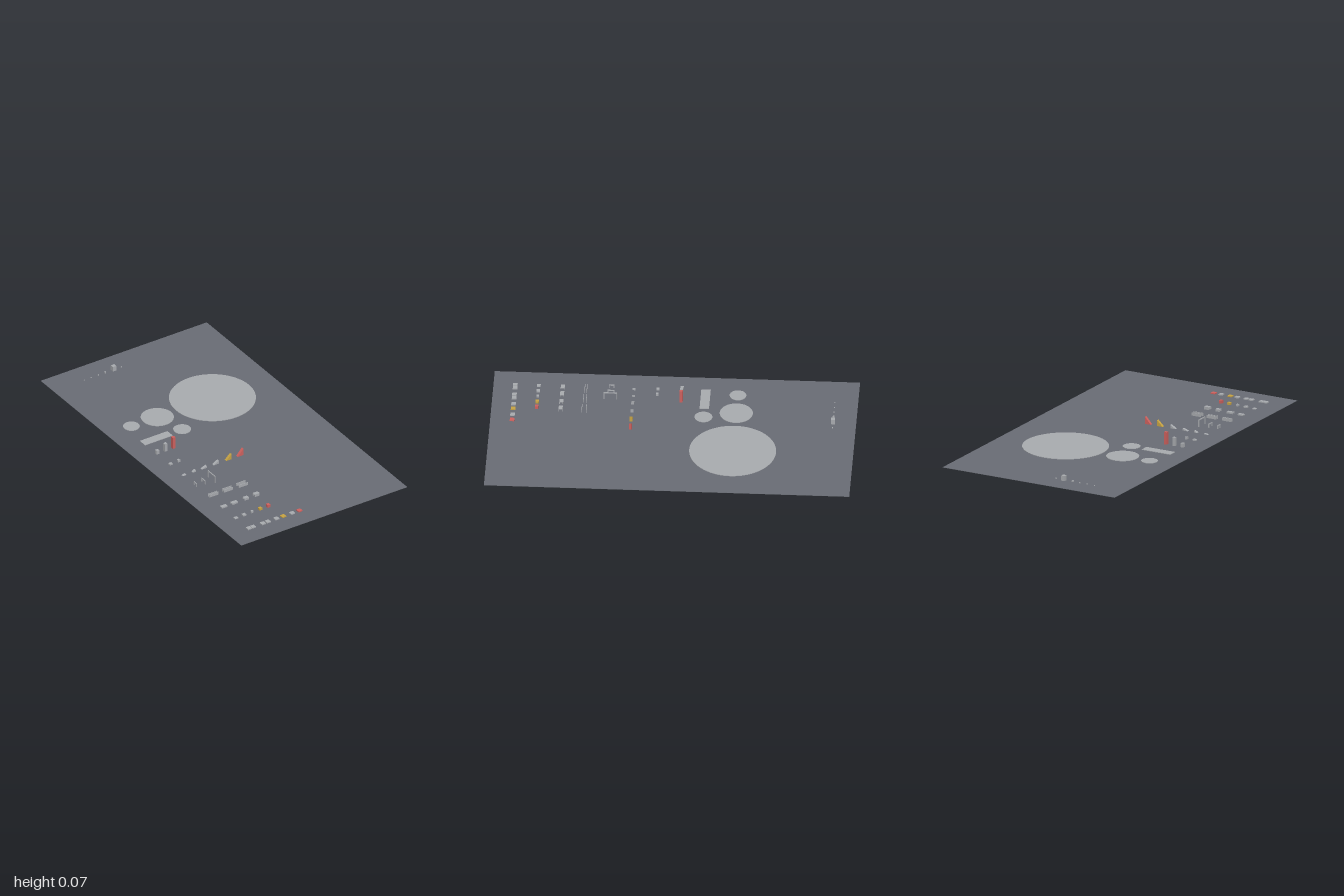
import * as THREE from 'three';

const mat = (name, color) => new THREE.MeshStandardMaterial({ name, color });

export function createModel() {
  const floorGrey = mat('floorGrey', 0x6a6d75);
  const lightGrey = mat('lightGrey', 0xa9acb0);
  const yellow = mat('yellow', 0xc9a544);
  const red = mat('red', 0xd0625f);
  const root = new THREE.Group();
  root.name = 'testCourse';
  const BASE = 0.002;

  const section = (name) => {
    const g = new THREE.Group();
    g.name = name;
    root.add(g);
    return g;
  };
  const add = (parent, name, geometry, material, x, y, z) => {
    const m = new THREE.Mesh(geometry, material);
    m.name = name;
    m.position.set(x, y, z);
    parent.add(m);
    return m;
  };
  // Box standing on the floor, or lifted by y
  const box = (parent, name, x, z, w, h, d, material = lightGrey, y = 0) =>
    add(parent, name, new THREE.BoxGeometry(w, h, d), material, x, BASE + y + h / 2, z);

  // Ground slab
  add(root, 'ground', new THREE.BoxGeometry(1.084, BASE, 2), floorGrey, 0, BASE / 2, 0);

  // Flat round and rectangular pads
  const pads = section('pads');
  for (const [x, z, r] of [[0.147, -0.34, 0.238], [-0.213, -0.34, 0.091], [-0.382, -0.34, 0.046], [-0.167, -0.163, 0.049]]) {
    add(pads, 'roundPad', new THREE.CylinderGeometry(r, r, 0.003, 64), lightGrey, x, BASE + 0.0015, z);
  }
  box(pads, 'longPad', -0.336, -0.163, 0.18, 0.003, 0.052);

  // Row of reference blocks at the back
  const blocks = section('referenceBlocks');
  [[-0.342, 0.003], [-0.296, 0.004], [-0.25, 0.006], [-0.205, 0.009], [-0.15, 0.029], [-0.1, 0.006]]
    .forEach(([x, h]) => {
      const w = h > 0.02 ? 0.022 : Math.max(0.005, h);
      box(blocks, 'referenceBlock', x, -0.873, w, h, w);
    });

  // Towers of rising height
  const towers = section('towers');
  [[0.023, lightGrey], [0.048, lightGrey], [0.071, red]].forEach(([h, m], i) =>
    box(towers, 'tower', -0.415 + i * 0.0525, -0.033, 0.017, h, 0.017, m));

  // Low blocks
  const low = section('lowBlocks');
  box(low, 'lowBlock', -0.415, 0.1, 0.02, 0.008, 0.016);
  box(low, 'lowBlock', -0.362, 0.1, 0.014, 0.013, 0.014);

  // Ramps that get steeper towards +x
  const ramps = section('ramps');
  [
    [-0.424, 0.022, 0.004, lightGrey], [-0.358, 0.018, 0.011, lightGrey],
    [-0.3, 0.033, 0.012, lightGrey], [-0.222, 0.033, 0.02, lightGrey],
    [-0.141, 0.035, 0.033, yellow], [-0.066, 0.037, 0.041, red],
  ].forEach(([x, w, h, m]) => {
    const side = new THREE.Shape([[0, 0], [w, 0], [w, h]].map((p) => new THREE.Vector2(...p)));
    const geo = new THREE.ExtrudeGeometry(side, { depth: 0.016, bevelEnabled: false });
    add(ramps, 'ramp', geo, m, x, BASE, 0.222);
  });

  // Gateways across the x direction
  const gates = section('gateways');
  [[0.03, 0.02], [0.038, 0.022], [0.074, 0.042]].forEach(([w, h], i) => {
    const x = -0.419 + i * 0.053, z = 0.354, t = 0.005;
    for (const s of [-1, 1]) box(gates, 'gatePost', x, z + s * (w - t) / 2, t, h, t);
    box(gates, 'gateLintel', x, z, t, t, w - 2 * t, lightGrey, h - t);
  });

  // Corridors between paired walls
  const corridors = section('corridors');
  [0.012, 0.016, 0.024].forEach((gap, i) => {
    for (const s of [-1, 1]) {
      box(corridors, 'corridorWall', -0.393 + i * 0.0945, 0.492 + s * gap / 2, 0.06, 0.017, 0.003);
    }
  });

  // Crouch tunnels and low platforms
  const tunnels = section('crouchTunnels');
  [[-0.408, 0.036, 0.007], [-0.34, 0.038, 0.009], [-0.264, 0.028, 0.013], [-0.196, 0.032, 0.016]]
    .forEach(([x, w, h]) => {
      box(tunnels, 'tunnelRoof', x, 0.62, w, 0.003, 0.022, lightGrey, h - 0.003);
      for (const s of [-1, 1]) box(tunnels, 'tunnelWall', x, 0.62 + s * 0.0095, w, h - 0.003, 0.003);
    });

  // Steps of rising height
  const steps = section('steps');
  [[0.004, 0.021, lightGrey], [0.008, 0.02, lightGrey], [0.011, 0.013, lightGrey], [0.013, 0.018, yellow], [0.017, 0.018, red]]
    .forEach(([h, w, m], i) => box(steps, 'step', -0.415 + i * 0.0528, 0.752, w, h, w, m));

  // Pairs of blocks with widening gaps
  const jumps = section('jumpBlocks');
  [[-0.414, -0.387, lightGrey], [-0.323, -0.29, lightGrey], [-0.234, -0.19, yellow], [-0.132, -0.084, red]]
    .forEach(([a, b, m]) => {
      box(jumps, 'takeoffBlock', a, 0.88, 0.025, 0.006, 0.025);
      box(jumps, 'landingBlock', b, 0.88, 0.025, 0.006, 0.025, m);
    });

  return root;
}
